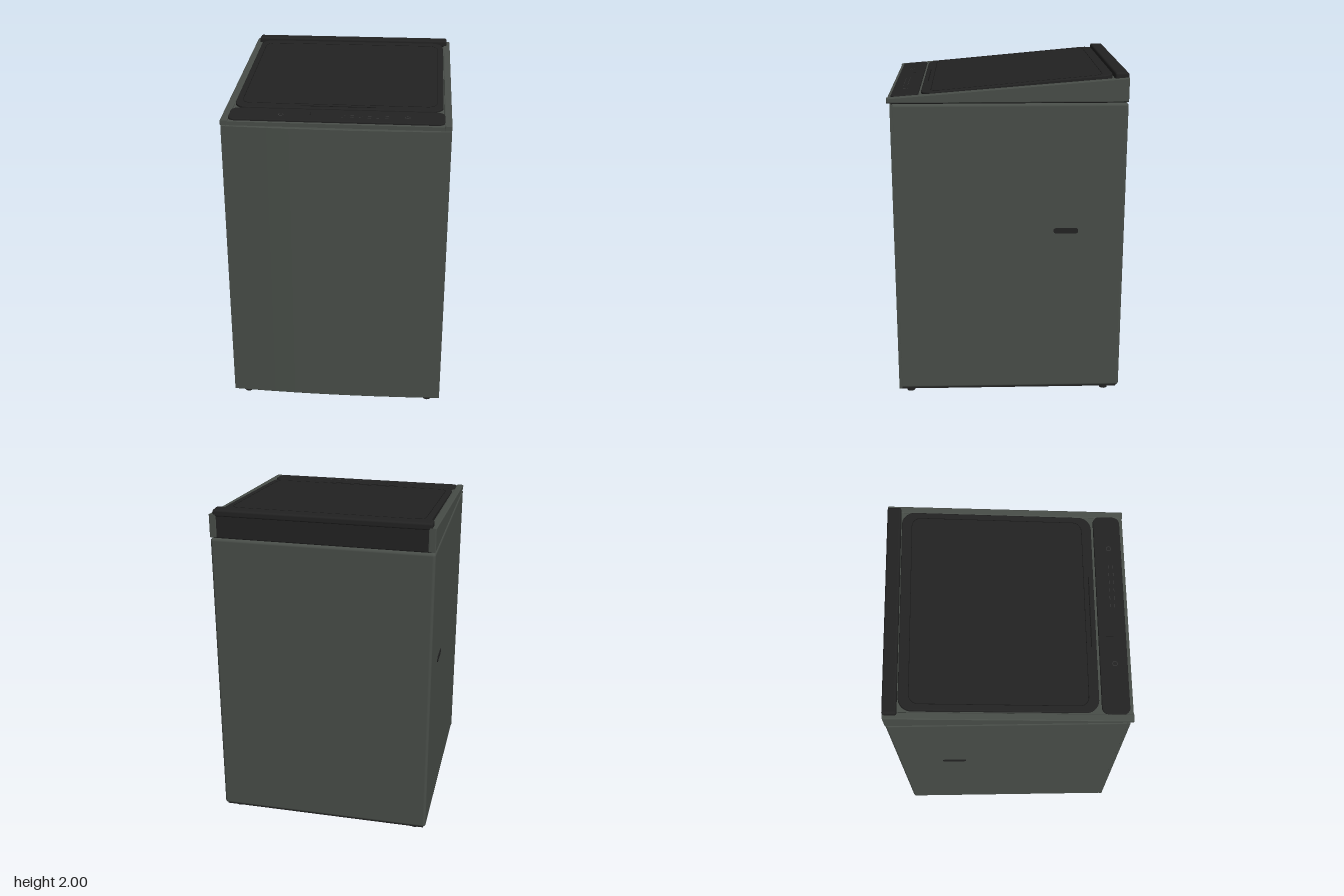
import * as THREE from 'three';
import { RoundedBoxGeometry } from 'three/addons/geometries/RoundedBoxGeometry.js';

const mat = (name, color) => {
  const m = new THREE.MeshStandardMaterial({ color });
  m.name = name;
  return m;
};

// Rounded rectangle as a shape or a hole
function roundRect(path, w, d, r) {
  const x = w / 2, y = d / 2;
  path.moveTo(-x + r, -y);
  path.lineTo(x - r, -y);
  path.absarc(x - r, -y + r, r, -Math.PI / 2, 0);
  path.lineTo(x, y - r);
  path.absarc(x - r, y - r, r, 0, Math.PI / 2);
  path.lineTo(-x + r, y);
  path.absarc(-x + r, y - r, r, Math.PI / 2, Math.PI);
  path.lineTo(-x, -y + r);
  path.absarc(-x + r, -y + r, r, Math.PI, Math.PI * 1.5);
  return path;
}

// Extrudes a plan shape upwards from y = 0 to y = h, with softened edges
function slab(shape, h, bevel = 0) {
  const g = new THREE.ExtrudeGeometry(shape, {
    depth: h - 2 * bevel, curveSegments: 10, bevelEnabled: bevel > 0,
    bevelSize: bevel, bevelThickness: bevel, bevelOffset: -bevel, bevelSegments: 3,
  });
  g.translate(0, 0, bevel);
  return g.rotateX(-Math.PI / 2);
}

// Extrudes a side profile of [z, y] points between x0 and x1
function sideProfile(points, x0, x1, bevel = 0) {
  const shape = new THREE.Shape(points.map(([z, y]) => new THREE.Vector2(-z, y)));
  const g = new THREE.ExtrudeGeometry(shape, {
    depth: x1 - x0 - 2 * bevel, bevelEnabled: bevel > 0,
    bevelSize: bevel, bevelThickness: bevel, bevelOffset: -bevel, bevelSegments: 2,
  });
  g.translate(0, 0, x0 + bevel);
  return g.rotateY(Math.PI / 2);
}

export function createModel() {
  const model = new THREE.Group();
  model.name = 'washingMachine';
  const steel = mat('greenGreySteel', 0x484d48);
  const dark = mat('darkPanel', 0x222222);
  const line = mat('blackLine', 0x161616);
  const mark = mat('greyMark', 0x3c3c3c);

  const add = (name, geometry, material, x = 0, y = 0, z = 0, parent = model) => {
    const mesh = new THREE.Mesh(geometry, material);
    mesh.name = name;
    mesh.position.set(x, y, z);
    parent.add(mesh);
    return mesh;
  };

  // Cabinet with softened edges
  add('cabinet', new RoundedBoxGeometry(1.3, 1.785, 1.36, 4, 0.018), steel, 0, 0.9375, -0.01);
  add('bottomPlate', new THREE.BoxGeometry(1.27, 0.012, 1.33), dark, 0, 0.042, -0.01);

  // Gently bowed front panel
  const bow = new THREE.Shape();
  bow.moveTo(-0.65, -0.655);
  bow.lineTo(-0.65, -0.672);
  bow.quadraticCurveTo(0, -0.708, 0.65, -0.672);
  bow.lineTo(0.65, -0.655);
  add('frontPanel', slab(bow, 1.785, 0.004), steel, 0, 0.043, 0);

  // Feet
  for (const x of [-0.573, 0.573]) {
    for (const z of [-0.605, 0.605]) {
      add('foot', new THREE.CylinderGeometry(0.025, 0.025, 0.045, 20), dark, x, 0.0225, z);
    }
  }

  // Slots in both sides
  for (const s of [-1, 1]) {
    const slot = add('sideSlot', slab(roundRect(new THREE.Shape(), 0.034, 0.146, 0.016), 0.004),
      dark, s * 0.6495, 1.067, -0.343);
    slot.rotation.z = -s * Math.PI / 2;
  }

  // Shadow seam under the sloping top
  add('topSeam', new THREE.BoxGeometry(1.27, 0.03, 1.34), line, 0, 1.83, -0.005);

  // Sloping top frame and side rails
  add('topFrame', sideProfile([[0.688, 1.836], [0.688, 1.858], [-0.665, 1.962], [-0.665, 1.836]],
    -0.612, 0.612), steel);
  for (const s of [-1, 1]) {
    add('sideRail', sideProfile([[0.69, 1.836], [0.69, 1.864], [-0.69, 1.973], [-0.69, 1.836]],
      s > 0 ? 0.608 : -0.65, s > 0 ? 0.65 : -0.608, 0.005), steel);
  }

  // Rear panel and hinge bar
  add('rearPanel', new THREE.BoxGeometry(1.22, 0.14, 0.03), dark, 0, 1.908, -0.672);
  add('hingeBar', new RoundedBoxGeometry(1.256, 0.042, 0.08, 3, 0.012), dark, 0, 1.979, -0.65);

  // Sloping deck carrying lid and console, with its surface at local y = 0
  const deck = new THREE.Group();
  deck.name = 'slopingDeck';
  deck.position.y = 1.93;
  deck.rotation.x = Math.atan(0.09);
  model.add(deck);
  const plate = (w, d, r) => roundRect(new THREE.Shape(), w, d, r);
  add('lid', slab(plate(1.206, 1.108, 0.075), 0.03, 0.005), dark, 0, -0.03, -0.053, deck);
  add('console', slab(plate(1.222, 0.158, 0.04), 0.026, 0.004), dark, 0, -0.026, 0.594, deck);

  // Inner border of the lid and its grip line
  const border = plate(1.136, 0.996, 0.055);
  border.holes.push(roundRect(new THREE.Path(), 1.13, 0.99, 0.052));
  add('lidBorder', slab(border, 0.001), line, 0, 0, -0.053, deck);
  add('lidGrip', new THREE.BoxGeometry(0.435, 0.003, 0.005), line, 0, 0, 0.472, deck);

  // Console dials and indicator marks
  for (const x of [-0.315, 0.402]) {
    const ring = add('dialRing', new THREE.RingGeometry(0.012, 0.015, 24), mark, x, 0.001, 0.6, deck);
    ring.rotation.x = -Math.PI / 2;
  }
  add('consoleDivider', new THREE.BoxGeometry(0.003, 0.002, 0.042), line, -0.15, 0, 0.578, deck);
  for (let i = 0; i < 6; i++) {
    for (const z of [0.592, 0.618]) {
      add('indicatorMark', new THREE.BoxGeometry(0.02, 0.002, 0.003), mark, 0.04 + i * 0.049, 0, z, deck);
    }
  }
  return model;
}
